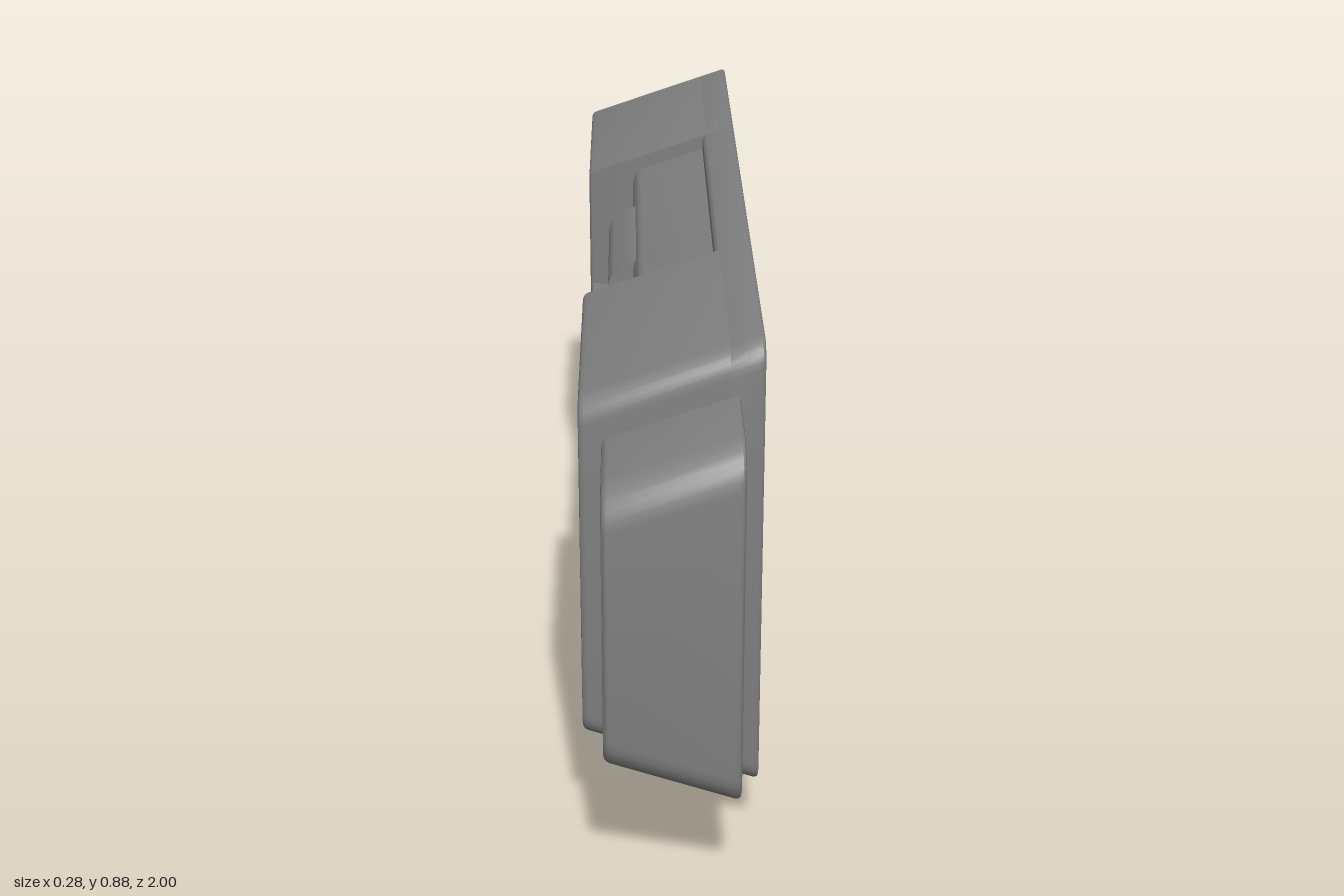
import * as THREE from 'three';
import { toCreasedNormals } from 'three/addons/utils/BufferGeometryUtils.js';

const MID = 0.495;   // height of the horizontal symmetry plane
const SLOPE = 0.34;  // how fast top and bottom flare towards +x
const material = new THREE.MeshStandardMaterial({ color: 0x808080 });

// Closed outline from [u, v, cornerRadius] points
function outline(points) {
  const shape = new THREE.Shape();
  const n = points.length;
  points.forEach(([u, v, r = 0], i) => {
    const p = new THREE.Vector2(u, v);
    const towards = ([a, b]) => new THREE.Vector2(a, b).sub(p).setLength(r).add(p);
    const a = r ? towards(points[(i + n - 1) % n]) : p;
    if (i === 0) shape.moveTo(a.x, a.y);
    else shape.lineTo(a.x, a.y);
    if (r) {
      const b = towards(points[(i + 1) % n]);
      const k = 0.45;
      const c1 = a.clone().lerp(p, 1 - k), c2 = b.clone().lerp(p, 1 - k);
      shape.bezierCurveTo(c1.x, c1.y, c2.x, c2.y, b.x, b.y);
    }
  });
  shape.closePath();
  return shape;
}

function part(name, geometry) {
  const mesh = new THREE.Mesh(toCreasedNormals(geometry, 0.6), material);
  mesh.name = name;
  return mesh;
}

// Side outline (z, y about the middle) extruded from x0 to x1, then flared
function flared(name, points, x0, x1, bevel) {
  const g = new THREE.ExtrudeGeometry(outline(points), {
    depth: x1 - x0 - 2 * bevel, curveSegments: 6,
    bevelSize: bevel, bevelThickness: bevel, bevelOffset: -bevel, bevelSegments: 3,
  });
  g.rotateY(Math.PI / 2).translate(x0 + bevel, 0, 0);
  const p = g.attributes.position;
  for (let i = 0; i < p.count; i++) {
    const y = p.getY(i);
    p.setY(i, MID + y + Math.sign(y) * SLOPE * p.getX(i));
  }
  return part(name, g);
}

// Front profile (x, y) extruded from z0 to z1
function profile(name, points, z0, z1) {
  const g = new THREE.ExtrudeGeometry(outline(points), {
    depth: z1 - z0, bevelEnabled: false, curveSegments: 5,
  });
  return part(name, g.translate(0, 0, z0));
}

export function createModel() {
  const model = new THREE.Group();
  const H = 0.336;   // half height of the body at x = 0
  const L = 0.797;   // half length of the body

  // Full-width face plate
  model.add(flared('facePlate', [
    [-L, -H, 0.04], [L, -H, 0.04], [L, H, 0.04], [-L, H, 0.04],
  ], 0.08, 0.14, 0.008));

  for (const s of [-1, 1]) {
    // Housing block at each end
    model.add(flared('endBlock', [
      [s * 0.335, -H], [s * L, -H, 0.04], [s * L, H, 0.04], [s * 0.335, H],
    ], -0.14, 0.12, 0.008));

    // U-shaped grip at each end
    const h = 0.266, k = 0.24;
    model.add(flared('handle', [
      [s * 0.77, -h], [s, -h, 0.06], [s, h, 0.06], [s * 0.77, h],
      [s * 0.77, k], [s * 0.956, k, 0.06], [s * 0.956, -k, 0.06], [s * 0.77, -k],
    ], -0.105, 0.103, 0.009));
  }

  // Recessed centre with the cross bar
  model.add(profile('centreCore', [
    [0.1, 0.15], [0.1, 0.838], [-0.055, 0.787, 0.025], [-0.055, 0.545],
    [-0.138, 0.558, 0.008], [-0.138, 0.435, 0.008], [-0.055, 0.435], [-0.055, 0.185],
  ], -0.34, 0.34));

  // Latch bump above the cross bar
  model.add(profile('latch', [
    [-0.03, 0.785], [-0.06, 0.775, 0.015], [-0.1, 0.743, 0.012], [-0.1, 0.57, 0.006], [-0.03, 0.56],
  ], -0.15, 0.15));

  // Foot: grooved middle length closed by two solid ends
  const foot = new THREE.Group();
  foot.name = 'foot';
  const upper = [[0.09, 0.045, 0.006], [0.098, 0.15], [0.05, 0.25], [-0.055, 0.22]];
  const tip = [-0.035, 0, 0.002];
  const groove = [[0, 0.013], [-0.01, 0.039], [0.054, 0.062], [0.064, 0.036]];
  foot.add(profile('footMiddle', [tip, ...groove, ...upper], -0.42, 0.42));
  foot.add(profile('footEnd', [tip, ...upper], -0.45, -0.42));
  foot.add(profile('footEnd', [tip, ...upper], 0.42, 0.45));

  // Tapered rib running from the cross bar down to the foot
  foot.add(profile('footRib', [
    [-0.112, 0.44], [-0.037, 0.015], [-0.02, 0.06], [-0.04, 0.44],
  ], -0.15, 0.15));
  model.add(foot);

  return model;
}
